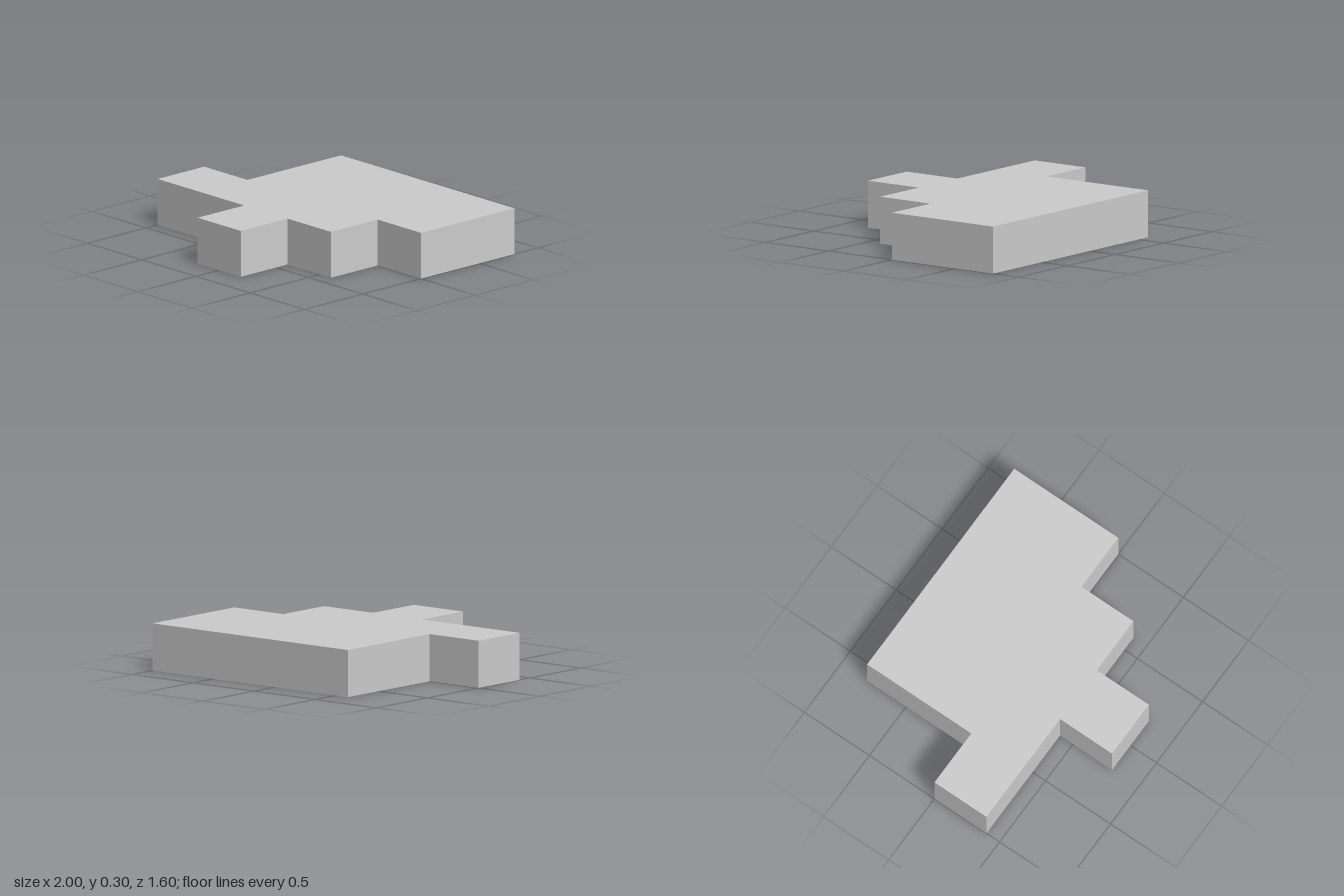
import * as THREE from 'three';

const HEIGHT = 0.3;

// Stepped plan outline as [x, z] corners
const OUTLINE = [
  [-0.6, -0.8], [1, -0.8], [1, 0], [0.6, 0], [0.6, 0.4], [0.2, 0.4],
  [0.2, 0.8], [-0.2, 0.8], [-0.2, 0.4], [-1, 0.4], [-1, 0], [-0.6, 0],
];

export function createModel() {
  const group = new THREE.Group();
  group.name = 'steppedSlab';

  // Draw the plan with z flipped, extrude it, then lay it flat on the ground
  const plan = new THREE.Shape(OUTLINE.map(([x, z]) => new THREE.Vector2(x, -z)));
  const geometry = new THREE.ExtrudeGeometry(plan, { depth: HEIGHT, bevelEnabled: false });
  geometry.rotateX(-Math.PI / 2);

  const slab = new THREE.Mesh(
    geometry,
    new THREE.MeshStandardMaterial({ color: 0xcccccc, flatShading: true }),
  );
  slab.name = 'slab';
  group.add(slab);
  return group;
}
